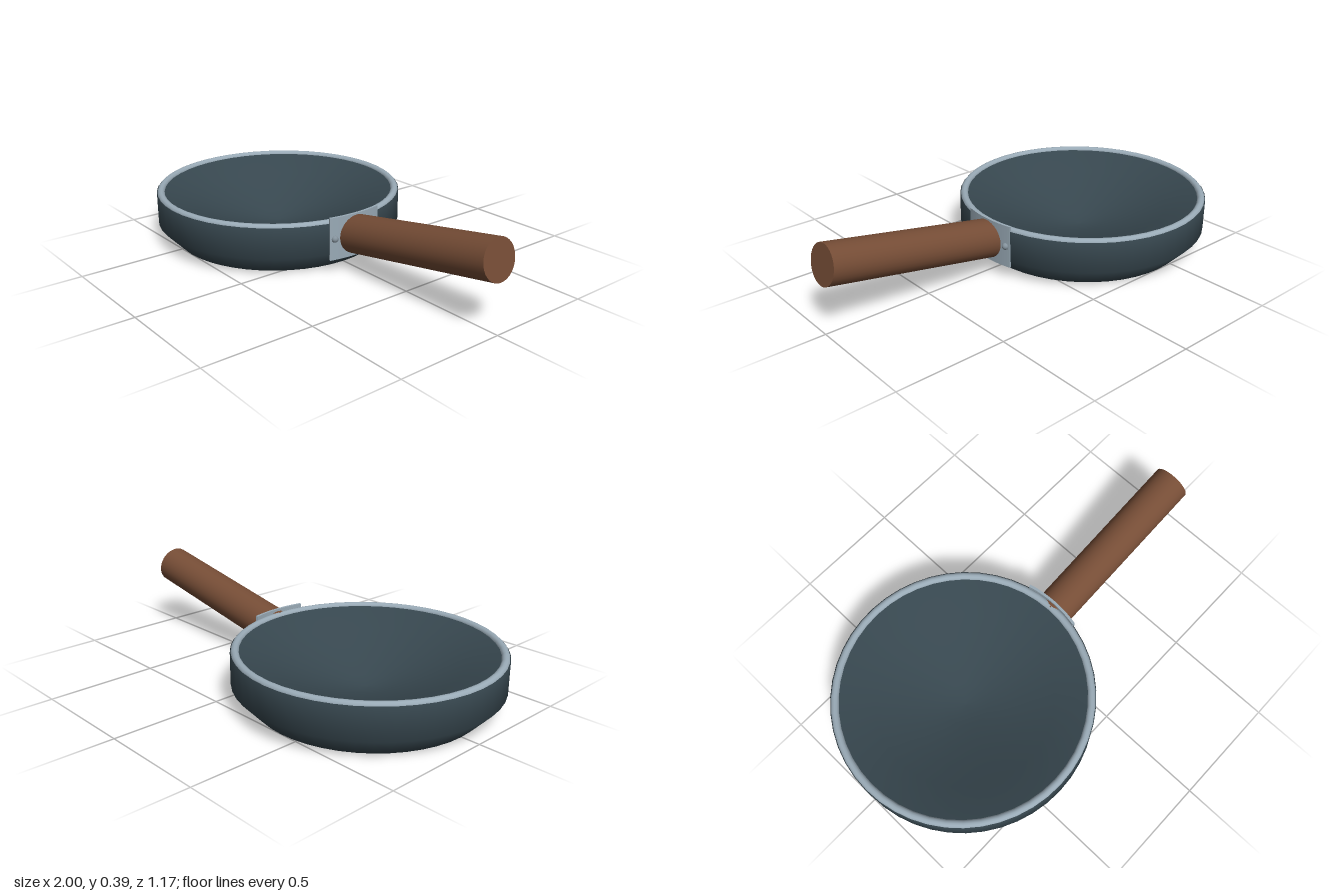
import * as THREE from 'three';

export function createModel() {
  const root = new THREE.Group();
  root.name = 'fryingPan';

  const paint = (name, color) => {
    const m = new THREE.MeshStandardMaterial({ color });
    m.name = name;
    return m;
  };
  const iron = paint('darkIron', 0x37474f);
  const steel = paint('paleSteel', 0x9aabb7);
  const rivetSteel = paint('rivetSteel', 0x84929c);
  const wood = paint('brownWood', 0x764d36);

  const add = (name, geometry, material, x, y, z) => {
    const mesh = new THREE.Mesh(geometry, material);
    mesh.name = name;
    mesh.position.set(x, y, z);
    root.add(mesh);
    return mesh;
  };

  const panX = -0.415;

  // Bowl: flat base, chamfer and wall outside, shallow dish inside
  const profile = [
    [0, 0], [0.5, 0], [0.585, 0.09], [0.585, 0.233], [0.55, 0.233],
    [0.4, 0.17], [0.3, 0.13], [0.2, 0.094], [0.1, 0.065], [0.04, 0.054], [0, 0.052],
  ].map(([r, y]) => new THREE.Vector2(r, y));
  add('bowl', new THREE.LatheGeometry(profile, 48), iron, panX, 0, 0);

  // Rolled rim
  const rim = new THREE.TorusGeometry(0.565, 0.018, 12, 48).rotateX(Math.PI / 2);
  add('rim', rim, steel, panX, 0.229, 0);

  // Mounting plate curved around the wall
  const half = 0.234;
  const arc = new THREE.Shape();
  arc.absarc(0, 0, 0.59, -half, half, false);
  arc.absarc(0, 0, 0.578, half, -half, true);
  arc.closePath();
  const plate = new THREE.ExtrudeGeometry(arc, { depth: 0.198, bevelEnabled: false, curveSegments: 10 });
  add('handlePlate', plate.rotateX(-Math.PI / 2), steel, panX, 0.061, 0);

  // A rivet on each side of the handle
  for (const side of [1, -1]) {
    add(side > 0 ? 'frontRivet' : 'backRivet',
      new THREE.SphereGeometry(0.016, 16, 12), rivetSteel, 0.163, 0.16, side * 0.114);
  }

  // Handle: a cylinder between two points, tilted upwards
  const start = new THREE.Vector2(0.16, 0.159);
  const end = new THREE.Vector2(0.983, 0.3065);
  const handle = add('handle',
    new THREE.CylinderGeometry(0.0885, 0.0885, start.distanceTo(end), 32), wood,
    (start.x + end.x) / 2, (start.y + end.y) / 2, 0);
  handle.rotation.z = Math.atan2(end.y - start.y, end.x - start.x) - Math.PI / 2;

  return root;
}
